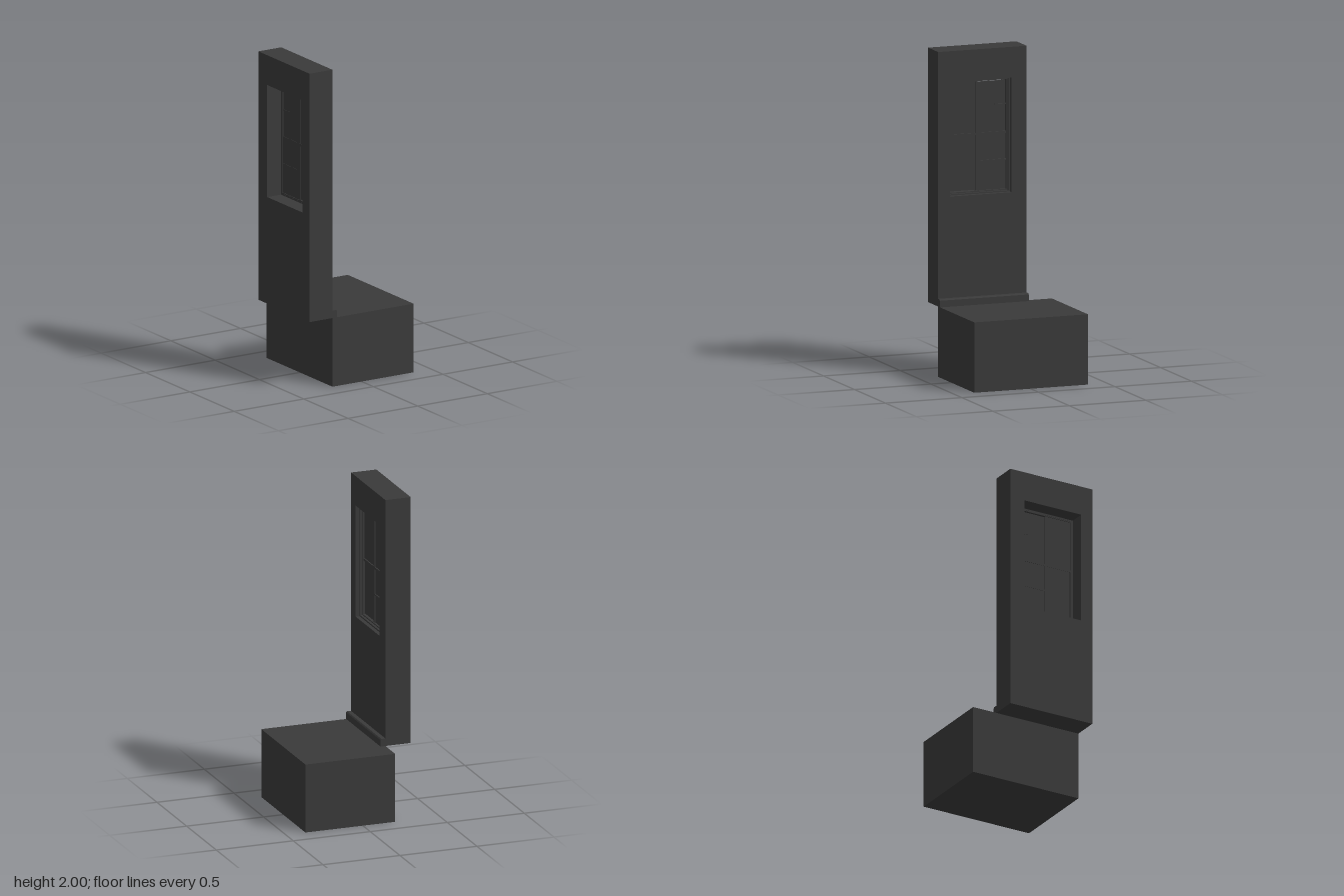
import * as THREE from 'three';

const material = new THREE.MeshStandardMaterial({ color: 0x3a3a3a, flatShading: true });

// Box given by its minimum and maximum corners
function box(name, [x0, y0, z0], [x1, y1, z1]) {
  const mesh = new THREE.Mesh(new THREE.BoxGeometry(x1 - x0, y1 - y0, z1 - z0), material);
  mesh.position.set((x0 + x1) / 2, (y0 + y1) / 2, (z0 + z1) / 2);
  mesh.name = name;
  return mesh;
}

function rectangle(Type, z0, z1, y0, y1) {
  return new Type([[z0, y0], [z1, y0], [z1, y1], [z0, y1]].map(p => new THREE.Vector2(...p)));
}

// Extrudes a z-y outline from the plane x = xFront towards -x
function slab(name, shape, xFront, depth) {
  const geometry = new THREE.ExtrudeGeometry(shape, { depth, bevelEnabled: false });
  geometry.rotateY(-Math.PI / 2).translate(xFront, 0, 0);
  const mesh = new THREE.Mesh(geometry, material);
  mesh.name = name;
  return mesh;
}

export function createModel() {
  const model = new THREE.Group();

  // Floor block
  model.add(box('floorBlock', [-0.21, 0, -0.375], [0.373, 0.433, 0.368]));

  // Wall with a window opening
  const wall = rectangle(THREE.Shape, -0.21, 0.368, 0.433, 2);
  wall.holes.push(rectangle(THREE.Path, -0.11, 0.29, 1.105, 1.812));
  model.add(slab('wall', wall, -0.21, 0.164));

  // Skirting board with a chamfered top edge
  const profile = new THREE.Shape([[-0.21, 0.433], [-0.178, 0.433], [-0.178, 0.474], [-0.184, 0.481], [-0.21, 0.481]]
    .map(p => new THREE.Vector2(...p)));
  const skirting = new THREE.Mesh(
    new THREE.ExtrudeGeometry(profile, { depth: 0.581, bevelEnabled: false }), material);
  skirting.position.z = -0.211;
  skirting.name = 'skirtingBoard';
  model.add(skirting);

  const windowGroup = new THREE.Group();
  windowGroup.name = 'window';
  model.add(windowGroup);

  // Two stepped frames inside the opening
  for (const [name, inset, width, front, depth] of [
    ['outerFrame', 0, 0.009, -0.235, 0.04],
    ['innerFrame', 0.009, 0.007, -0.25, 0.024],
  ]) {
    const edges = d => [-0.11 + d, 0.29 - d, 1.105 + d, 1.812 - d];
    const frame = rectangle(THREE.Shape, ...edges(inset));
    frame.holes.push(rectangle(THREE.Path, ...edges(inset + width)));
    windowGroup.add(slab(name, frame, front, depth));
  }

  // Glazing bars: z and y ranges, with a slight tilt for the worn ones
  for (const [z0, z1, y0, y1, tilt] of [
    [0.094, 0.106, 1.12, 1.797, 0],
    [-0.095, 0.275, 1.463, 1.477, 0],
    [-0.095, 0.094, 1.296, 1.306, 0.012],
    [-0.095, -0.02, 1.642, 1.648, -0.02],
  ]) {
    const bar = box('glazingBar', [-0.272, y0, z0], [-0.255, y1, z1]);
    bar.rotation.x = tilt;
    windowGroup.add(bar);
  }

  // Solid panes, two of them leaving narrow gaps at a corner
  for (const [z0, z1, y0, y1] of [
    [0.1, 0.276, 1.47, 1.798],
    [-0.09, 0.1, 1.47, 1.79],
    [0.1, 0.271, 1.126, 1.47],
    [-0.096, 0.1, 1.119, 1.47],
  ]) windowGroup.add(box('pane', [-0.27, y0, z0], [-0.262, y1, z1]));

  return model;
}
